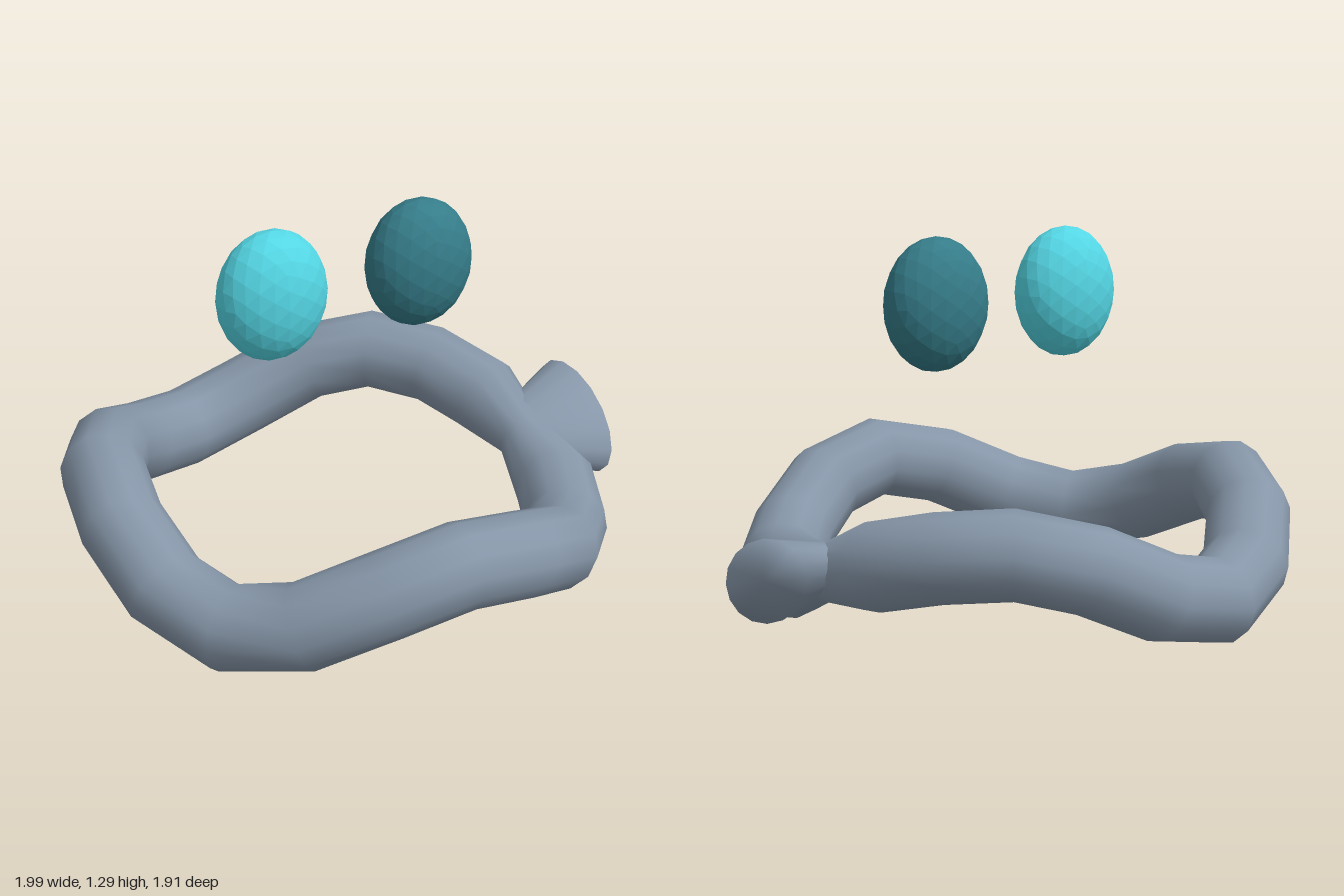
import * as THREE from 'three';

const V = (x, y, z) => new THREE.Vector3(x, y, z);

// Wave of the ring: lows and crests as [angle in degrees, height]
const WAVE = [[-54, 0.375], [36, 0.145], [90, 0.375], [144, 0.145], [198, 0.375], [252, 0.145], [306, 0.375], [396, 0.145]];

function waveHeight(deg) {
  const i = WAVE.findIndex(([a], k) => k > 0 && deg <= a);
  const [a0, y0] = WAVE[i - 1], [a1, y1] = WAVE[i];
  const t = (1 - Math.cos(Math.PI * (deg - a0) / (a1 - a0))) / 2;
  return y0 + (y1 - y0) * t;
}

// Ring path, drawn in slightly on the side where its ends meet
class WavyRing extends THREE.Curve {
  getPoint(t, target = V(0, 0, 0)) {
    const u = t - Math.floor(t), a = u * Math.PI * 2;
    const r = 0.822 - 0.065 * Math.max(0, Math.cos(a + 0.35));
    return target.set(-0.03 + r * Math.cos(a), waveHeight(u * 360), r * Math.sin(a));
  }
  getPointAt(t, target) { return this.getPoint(t, target); }
  getTangentAt(t) {
    return this.getPoint(t + 0.005).sub(this.getPoint(t - 0.005)).normalize();
  }
}

// Skewed, flared end: a cone from the joint to a slanted elliptical rim, closed by a shallow face
function flareGeometry(sides) {
  const long = V(0.025, -0.05, 0.21), short = V(0.03, 0.155, -0.045);
  const rings = [[V(0.73, 0.25, 0.01), 0.6], [V(0.955, 0.245, -0.02), 1], [V(0.955, 0.245, -0.02), 0]];
  const pos = [], index = [];
  rings.forEach(([c, s], r) => {
    for (let i = 0; i < sides; i++) {
      const a = i / sides * Math.PI * 2;
      const p = c.clone().addScaledVector(long, s * Math.cos(a)).addScaledVector(short, s * Math.sin(a));
      pos.push(p.x, p.y, p.z);
      if (r === 0) continue;
      const j = (i + 1) % sides, lo = (r - 1) * sides, hi = r * sides;
      index.push(lo + i, hi + i, lo + j);
      if (r === 1) index.push(lo + j, hi + i, hi + j);
    }
  });
  const g = new THREE.BufferGeometry();
  g.setAttribute('position', new THREE.Float32BufferAttribute(pos, 3));
  g.setIndex(index);
  g.computeVertexNormals();
  return g;
}

export function createModel() {
  const model = new THREE.Group();
  const add = (name, geometry, material) => {
    const mesh = new THREE.Mesh(geometry, material);
    mesh.name = name;
    model.add(mesh);
    return mesh;
  };
  const slate = new THREE.MeshStandardMaterial({ color: 0x8696a8, side: THREE.DoubleSide });

  // Wavy ring body, pinched where its two ends meet
  const segments = 20, sides = 12;
  const ring = new THREE.TubeGeometry(new WavyRing(), segments, 0.145, sides, true);
  const p = ring.attributes.position, joint = V(0.69, 0.24, 0), v = V(0, 0, 0);
  for (const row of [0, segments]) {
    for (let j = 0; j <= sides; j++) {
      const k = row * (sides + 1) + j;
      v.fromBufferAttribute(p, k).sub(joint).multiplyScalar(0.65).add(joint);
      p.setXYZ(k, v.x, v.y, v.z);
    }
  }
  add('wavyRing', ring, slate);
  add('flaredEnd', flareGeometry(16), slate);

  // Two faceted eggs floating above the ring
  for (const [name, x, color] of [['rightEye', -0.31, 0x54d6e4], ['leftEye', 0.235, 0x357c89]]) {
    const material = new THREE.MeshStandardMaterial({ color, flatShading: true });
    const eye = add(name, new THREE.IcosahedronGeometry(1, 3), material);
    eye.scale.set(0.192, 0.227, 0.136);
    eye.position.set(x, 1.06, 0.055);
  }
  return model;
}
